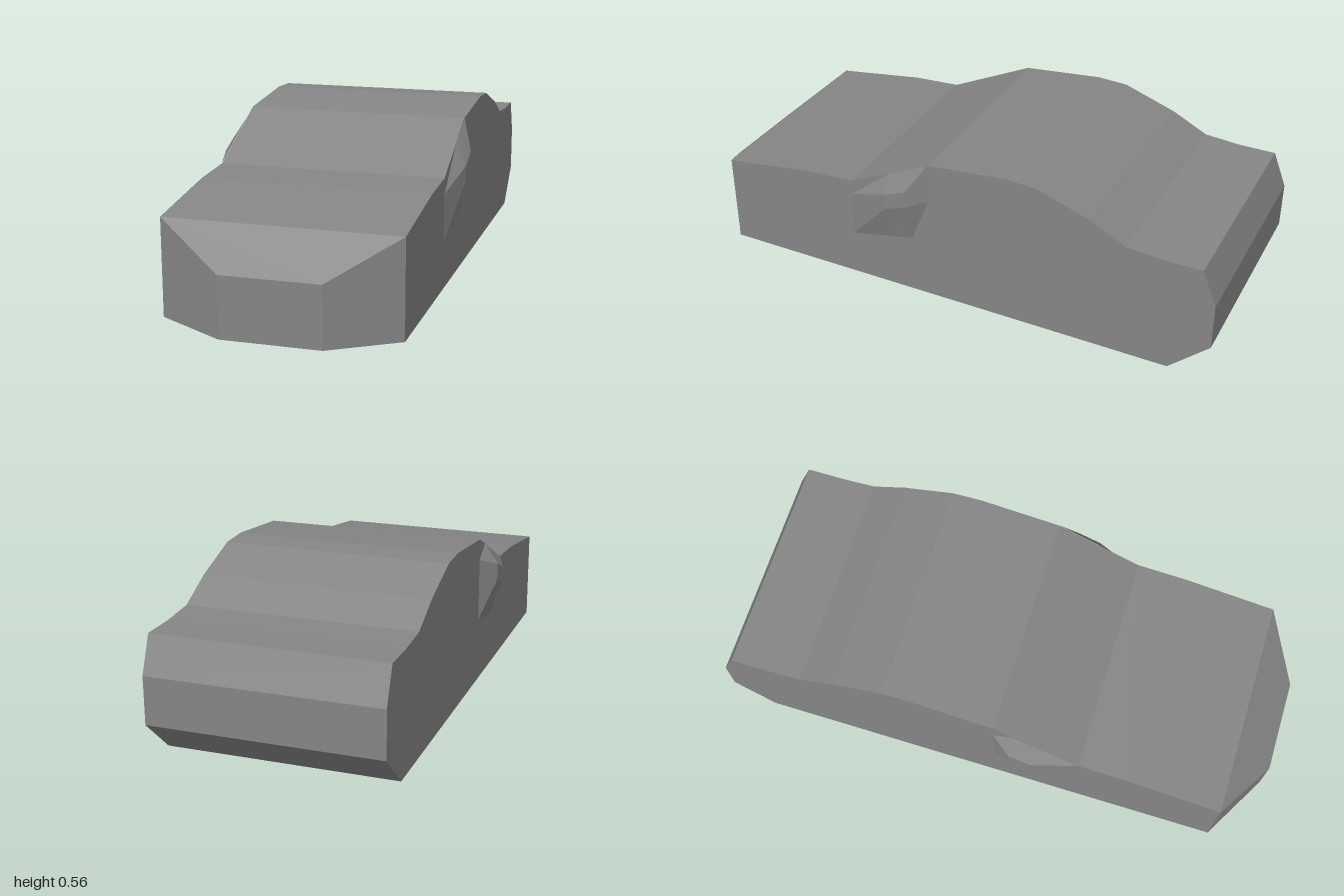
import * as THREE from 'three';
import { ConvexGeometry } from 'three/addons/geometries/ConvexGeometry.js';

export function createModel() {
  const group = new THREE.Group();
  const material = new THREE.MeshStandardMaterial({ color: 0x858585, flatShading: true });
  const right = -0.395, left = 0.403;

  const add = (name, geometry) => {
    const mesh = new THREE.Mesh(geometry, material);
    mesh.name = name;
    group.add(mesh);
  };

  // Car body: side profile as (z, y), extruded across the width
  const profile = [
    [0.86, 0], [0.86, 0.333], [0.52, 0.38], [0.34, 0.39], [0.03, 0.537],
    [-0.26, 0.565], [-0.37, 0.56], [-0.56, 0.495], [-0.69, 0.43], [-0.82, 0.42],
    [-0.95, 0.42], [-1, 0.295], [-1, 0.13], [-0.86, 0],
  ].map(([z, y]) => new THREE.Vector2(z, y));
  const body = new THREE.ExtrudeGeometry(new THREE.Shape(profile), {
    depth: left - right, bevelEnabled: false,
  });
  body.rotateY(-Math.PI / 2).translate(left, 0, 0);
  add('body', body);

  // Nose: tapers forward to a narrower, lower front
  const nose = [];
  for (const [x, y, z] of [[right, 0.333, 0.86], [left, 0.333, 0.86], [-0.15, 0.207, 1], [0.185, 0.207, 1]]) {
    nose.push(new THREE.Vector3(x, 0, z), new THREE.Vector3(x, y, z));
  }
  add('nose', new ConvexGeometry(nose));

  // Side mirrors: a 3 x 3 patch below the windscreen line, its middle cell pushed outward
  const heights = [1, 0.75, 0.53, 0];
  const stations = [0.03, 0.1, 0.18, 0.34];
  const mirror = (name, x, outerX) => {
    const patch = new THREE.PlaneGeometry(1, 1, 3, 3);
    const inner = (i) => i === 1 || i === 2;
    for (let column = 0; column < 4; column++) {
      const z = stations[x > 0 ? 3 - column : column];
      const t = (z - 0.03) / 0.31;
      const bottom = THREE.MathUtils.lerp(0.235, 0.17, t);
      const top = THREE.MathUtils.lerp(0.537, 0.39, t);
      heights.forEach((h, row) => {
        const px = inner(row) && inner(column) ? outerX : x;
        patch.attributes.position.setXYZ(row * 4 + column, px, THREE.MathUtils.lerp(bottom, top, h), z);
      });
    }
    patch.computeVertexNormals();
    add(name, patch);
  };
  mirror('rightMirror', right - 0.001, -0.445);
  mirror('leftMirror', left + 0.001, 0.443);

  return group;
}
